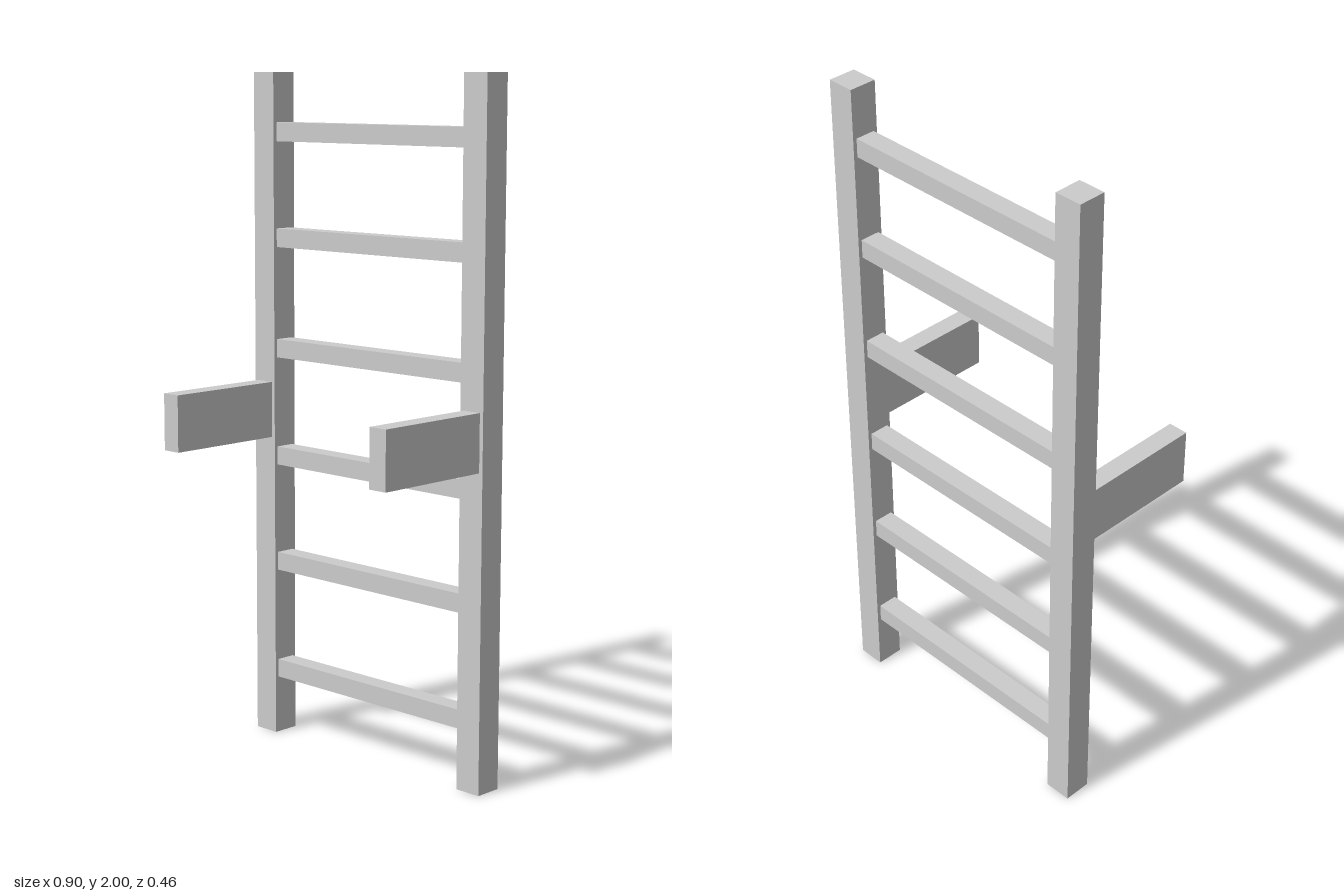
import * as THREE from 'three';

export function createModel() {
  const group = new THREE.Group();
  const material = new THREE.MeshStandardMaterial({ color: 0xcccccc, flatShading: true });

  const addBox = (name, size, position) => {
    const mesh = new THREE.Mesh(new THREE.BoxGeometry(...size), material);
    mesh.name = name;
    mesh.position.set(...position);
    group.add(mesh);
  };

  const postX = 0.409, postWidth = 0.082, postZ = -0.187;

  // Upright posts, each with an arm reaching forward to the wall
  for (const [side, s] of [['left', 1], ['right', -1]]) {
    addBox(`${side}Post`, [postWidth, 2, 0.083], [s * postX, 1, postZ]);
    addBox(`${side}Arm`, [0.059, 0.167, 0.373], [s * postX, 1.003, 0.0415]);
  }

  // Rungs between the inner faces of the posts
  const rungHeights = [0.202, 0.538, 0.863, 1.188, 1.517, 1.827];
  rungHeights.forEach((y, i) => {
    addBox(`rung${i + 1}`, [2 * postX - postWidth, 0.055, 0.06], [0, y, postZ]);
  });

  return group;
}
